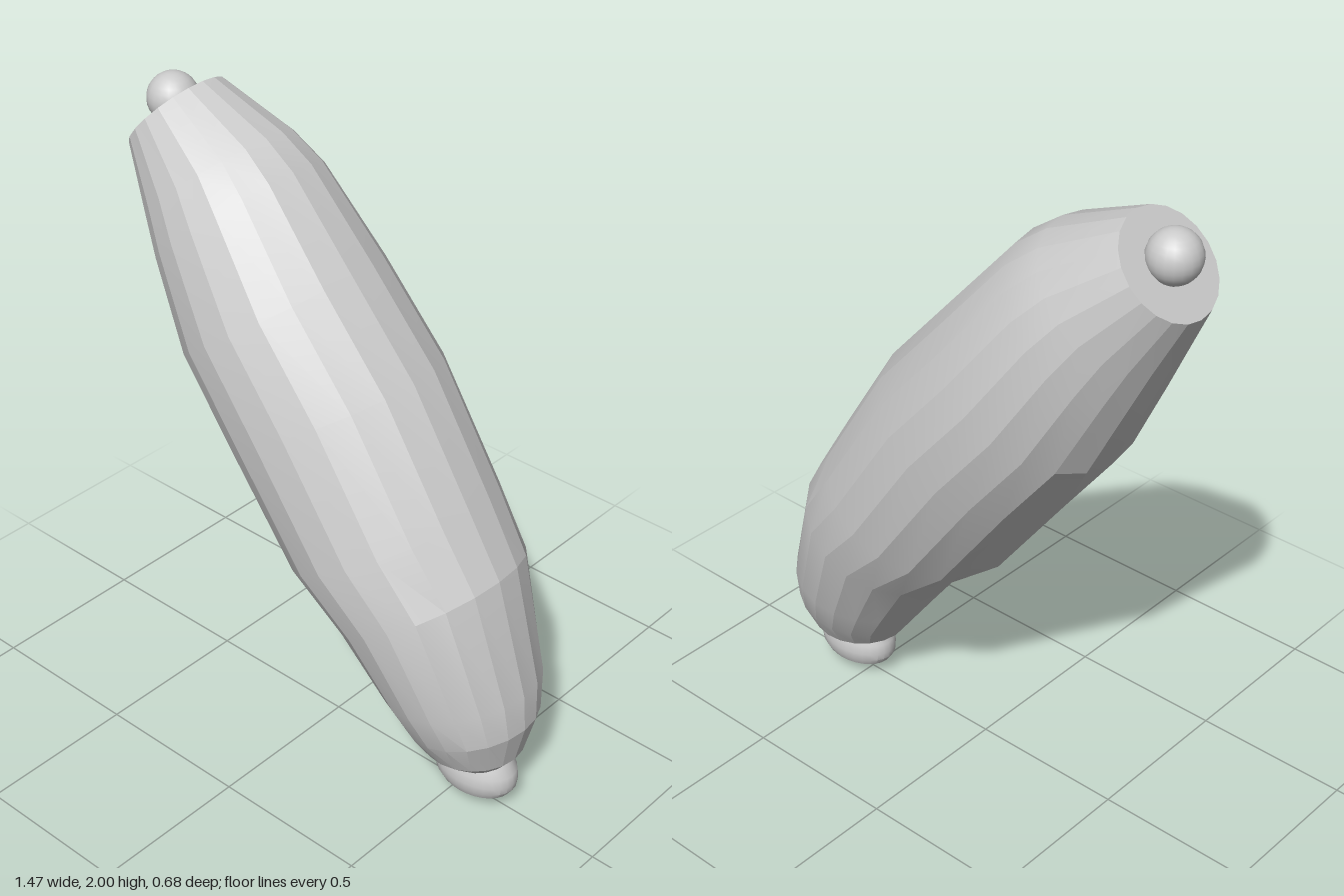
import * as THREE from 'three';
import { toCreasedNormals } from 'three/addons/utils/BufferGeometryUtils.js';

const material = new THREE.MeshStandardMaterial({ color: 0xcccccc });
const SIDES = 20;

// Body cross-sections, top to bottom: belly x, y, back x, y, half width in z, keel flag
const SECTIONS = [
  [-0.735, 1.755, -0.515, 2.0, 0.165, 0],
  [-0.65, 1.58, -0.27, 1.9, 0.24, 0],
  [-0.59, 1.455, -0.17, 1.83, 0.277, 0],
  [-0.47, 1.21, 0.05, 1.585, 0.327, 0],
  [-0.3, 0.99, 0.28, 1.33, 0.34, 1],
  [-0.05, 0.66, 0.5, 0.985, 0.335, 1],
  [0.14, 0.51, 0.61, 0.81, 0.31, 0],
  [0.27, 0.34, 0.72, 0.45, 0.25, 0],
  [0.345, 0.24, 0.73, 0.33, 0.21, 0],
  [0.39, 0.18, 0.7, 0.2, 0.155, 0],
  [0.45, 0.14, 0.66, 0.15, 0.1, 0],
];

function add(group, name, geometry) {
  const mesh = new THREE.Mesh(geometry, material);
  mesh.name = name;
  group.add(mesh);
  return mesh;
}

// Loft through the tilted elliptical sections, capped at both ends
function bodyGeometry() {
  const pos = [], index = [];
  for (const [lx, ly, rx, ry, w, keel] of SECTIONS) {
    for (let j = 0; j < SIDES; j++) {
      const a = (j / SIDES) * Math.PI * 2;
      let c = Math.cos(a);
      // The belly is flattened beside a narrow central keel
      if (keel && j !== SIDES / 2) c = Math.max(c, -0.84);
      pos.push((lx + rx) / 2 + c * (rx - lx) / 2, (ly + ry) / 2 + c * (ry - ly) / 2, w * Math.sin(a));
    }
  }
  const last = SECTIONS.length - 1;
  for (const i of [0, last]) {
    const [lx, ly, rx, ry] = SECTIONS[i];
    pos.push((lx + rx) / 2, (ly + ry) / 2, 0);
  }
  const top = SECTIONS.length * SIDES;
  for (let j = 0; j < SIDES; j++) {
    const k = (j + 1) % SIDES;
    for (let i = 0; i < last; i++) {
      const a = i * SIDES + j, b = i * SIDES + k;
      index.push(a, b, a + SIDES, b, b + SIDES, a + SIDES);
    }
    index.push(top, k, j, top + 1, last * SIDES + j, last * SIDES + k);
  }
  const g = new THREE.BufferGeometry();
  g.setAttribute('position', new THREE.Float32BufferAttribute(pos, 3));
  g.setIndex(index);
  return toCreasedNormals(g, 0.24);
}

export function createModel() {
  const group = new THREE.Group();
  group.name = 'taperedPod';

  add(group, 'body', bodyGeometry());

  // Ball sitting on the flat upper end
  add(group, 'topBall', new THREE.SphereGeometry(0.078, 20, 14)).position.set(-0.645, 1.91, -0.007);

  // Oval foot with a shallow pointed underside
  const profile = [[0, 0], [0.6, 0.035], [0.86, 0.05], [0.98, 0.075], [1, 0.1], [0.97, 0.13], [0.8, 0.17], [0.5, 0.185], [0, 0.19]]
    .map(([r, y]) => new THREE.Vector2(r, y));
  const foot = new THREE.LatheGeometry(profile, 28);
  foot.scale(0.14, 1, 0.097);
  add(group, 'foot', toCreasedNormals(foot, 0.5)).position.set(0.56, 0, 0);

  return group;
}
